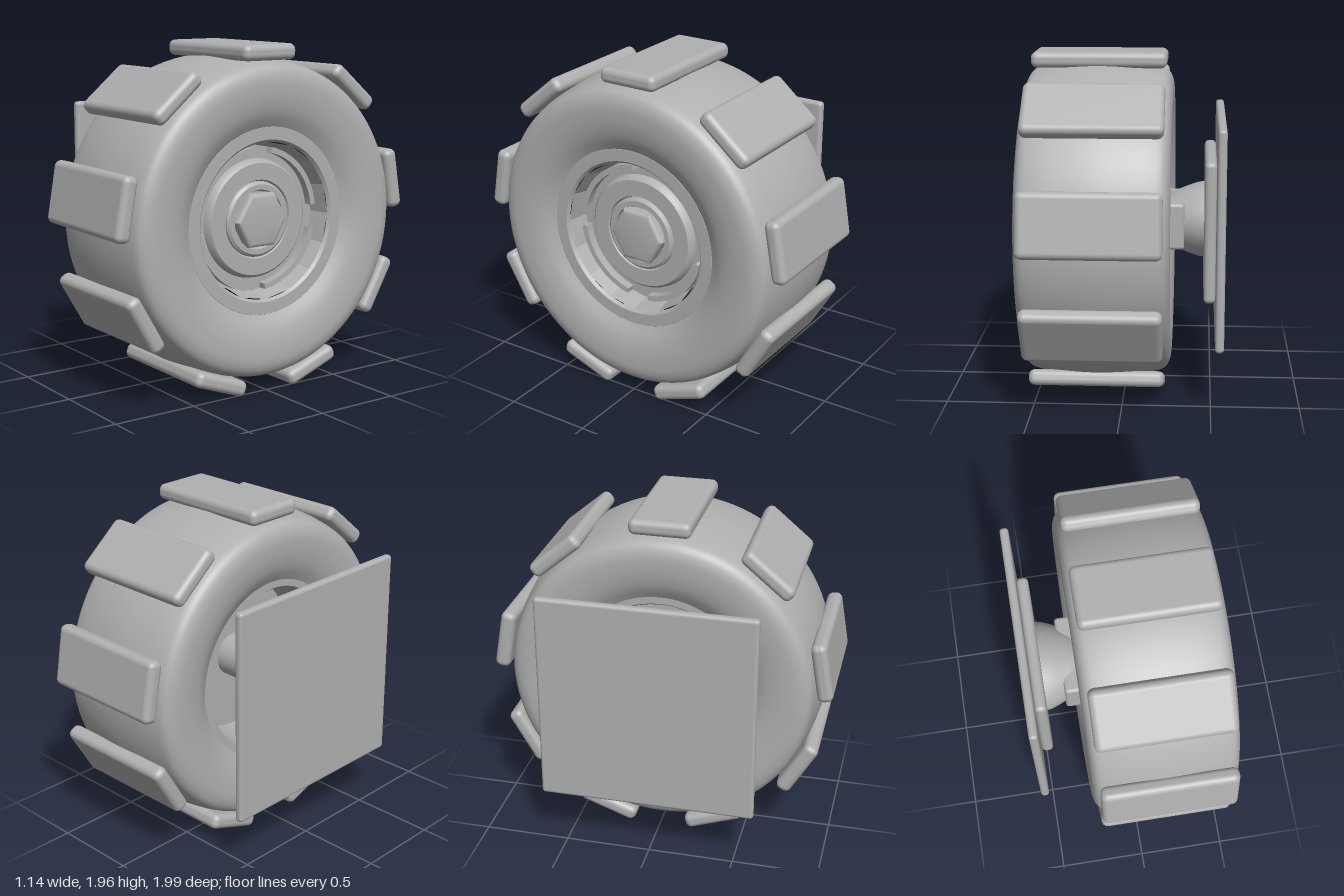
import * as THREE from 'three';
import { toCreasedNormals } from 'three/addons/utils/BufferGeometryUtils.js';
import { RoundedBoxGeometry } from 'three/addons/geometries/RoundedBoxGeometry.js';

const AXLE_Y = 0.985;  // wheel centre height
const MID = 0.148;     // wheel centre plane along x

export function createModel() {
  const grey = new THREE.MeshStandardMaterial({ color: 0xb0b0b0 });
  grey.name = 'plain grey';
  const model = new THREE.Group();
  model.name = 'mountedWheel';
  const body = new THREE.Group();
  body.name = 'wheelAssembly';
  body.position.y = AXLE_Y;
  model.add(body);

  const add = (name, geometry, parent = body) => {
    const mesh = new THREE.Mesh(geometry, grey);
    mesh.name = name;
    parent.add(mesh);
    return mesh;
  };
  // Revolves [x, radius] points (outer side listed with x increasing) around the x axis
  const turn = (points, segments = 64, crease = 0.6) => {
    const g = new THREE.LatheGeometry(points.map(([x, r]) => new THREE.Vector2(r, x)), segments);
    g.rotateZ(-Math.PI / 2);
    return toCreasedNormals(g, crease);
  };
  // Extrudes a shape drawn in (z, y) along +x from the given x
  const extrudeX = (shape, x, depth, bevel = 0) => {
    const g = new THREE.ExtrudeGeometry(shape, {
      depth, curveSegments: 10, bevelEnabled: bevel > 0,
      bevelSize: bevel, bevelThickness: bevel, bevelSegments: 3,
    });
    g.rotateY(Math.PI / 2);
    g.translate(x, 0, 0);
    return toCreasedNormals(g, 0.6);
  };

  // Tyre: half profile as offset from the centre plane, mirrored to the back
  const half = [[0, 0.925], [0.2, 0.912], [0.33, 0.89], [0.388, 0.865], [0.415, 0.81],
    [0.418, 0.74], [0.41, 0.67], [0.39, 0.6], [0.352, 0.53]];
  const section = [...half.slice(1).reverse().map(([d, r]) => [-d, r]), ...half];
  const curve = new THREE.SplineCurve(section.map(([d, r]) => new THREE.Vector2(MID + d, r)));
  const tyre = curve.getPoints(64).map((p) => [p.x, p.y]);
  add('tyre', turn(tyre, 96));

  // Nine tread blocks
  const treads = new THREE.Group();
  treads.name = 'treadBlocks';
  body.add(treads);
  for (let i = 0; i < 9; i++) {
    const a = (i / 9) * Math.PI * 2;
    const block = add('treadBlock', new RoundedBoxGeometry(0.77, 0.09, 0.355, 4, 0.036), treads);
    block.position.set(0.15, 0.94 * Math.cos(a), 0.94 * Math.sin(a));
    block.rotation.x = a;
  }

  // Rim: outer lips, then faceted dish with stepped centre
  add('frontLip', turn([[0.49, 0.54], [0.502, 0.53], [0.502, 0.46], [0.485, 0.445]], 64));
  add('rimDish', turn([[0.488, 0.447], [0.37, 0.42], [0.37, 0.3]], 16, 0.1));
  add('rimFace', turn([[0.36, 0.345], [0.4, 0.335], [0.415, 0.32], [0.415, 0.225],
    [0.385, 0.21], [0.385, 0]], 48));
  add('rimBack', turn([[0.1, 0], [0.1, 0.46], [-0.19, 0.48], [-0.204, 0.49], [-0.204, 0.54]], 48));

  // Four curved bars in the dish
  for (let i = 0; i < 4; i++) {
    const from = i * Math.PI / 2 + 0.12, to = from + 1.22;
    const arc = new THREE.Shape();
    arc.absarc(0, 0, 0.412, from, to, false);
    arc.absarc(0, 0, 0.38, to, from, true);
    arc.closePath();
    add('rimBar', extrudeX(arc, 0.36, 0.06));
  }

  // Hub collar and hexagonal nut
  add('hubCollar', turn([[0.38, 0.22], [0.412, 0.215], [0.425, 0.2], [0.425, 0.17], [0.4, 0.16], [0.4, 0]], 40));
  const hex = new THREE.Shape();
  for (let i = 0; i < 6; i++) {
    const a = i * Math.PI / 3;
    const p = [0.145 * Math.cos(a), 0.145 * Math.sin(a)];
    if (i) hex.lineTo(...p); else hex.moveTo(...p);
  }
  hex.closePath();
  add('hubNut', extrudeX(hex, 0.38, 0.06, 0.025));

  // Axle and the knuckle carrying it
  const axle = turn([[-0.4, 0], [-0.4, 0.13], [0.12, 0.13], [0.12, 0]], 32);
  add('axle', axle);
  const flare = turn([[-0.46, 0], [-0.46, 0.27], [-0.42, 0.262], [-0.36, 0.238],
    [-0.3, 0.208], [-0.24, 0.18], [-0.22, 0.15], [-0.22, 0]], 32);
  add('axleFlare', flare).scale.y = 0.82;
  const knuckle = add('knuckle', new RoundedBoxGeometry(0.18, 0.27, 0.47, 3, 0.02));
  knuckle.position.x = -0.25;

  // Square mounting plates
  const plate = (name, x, thick, size, radius) => {
    add(name, new RoundedBoxGeometry(thick, size, size, 4, radius)).position.x = x;
  };
  plate('spacerPlate', -0.487, 0.068, 0.81, 0.028);
  plate('mountingPlate', -0.545, 0.05, 1.245, 0.02);

  return model;
}
